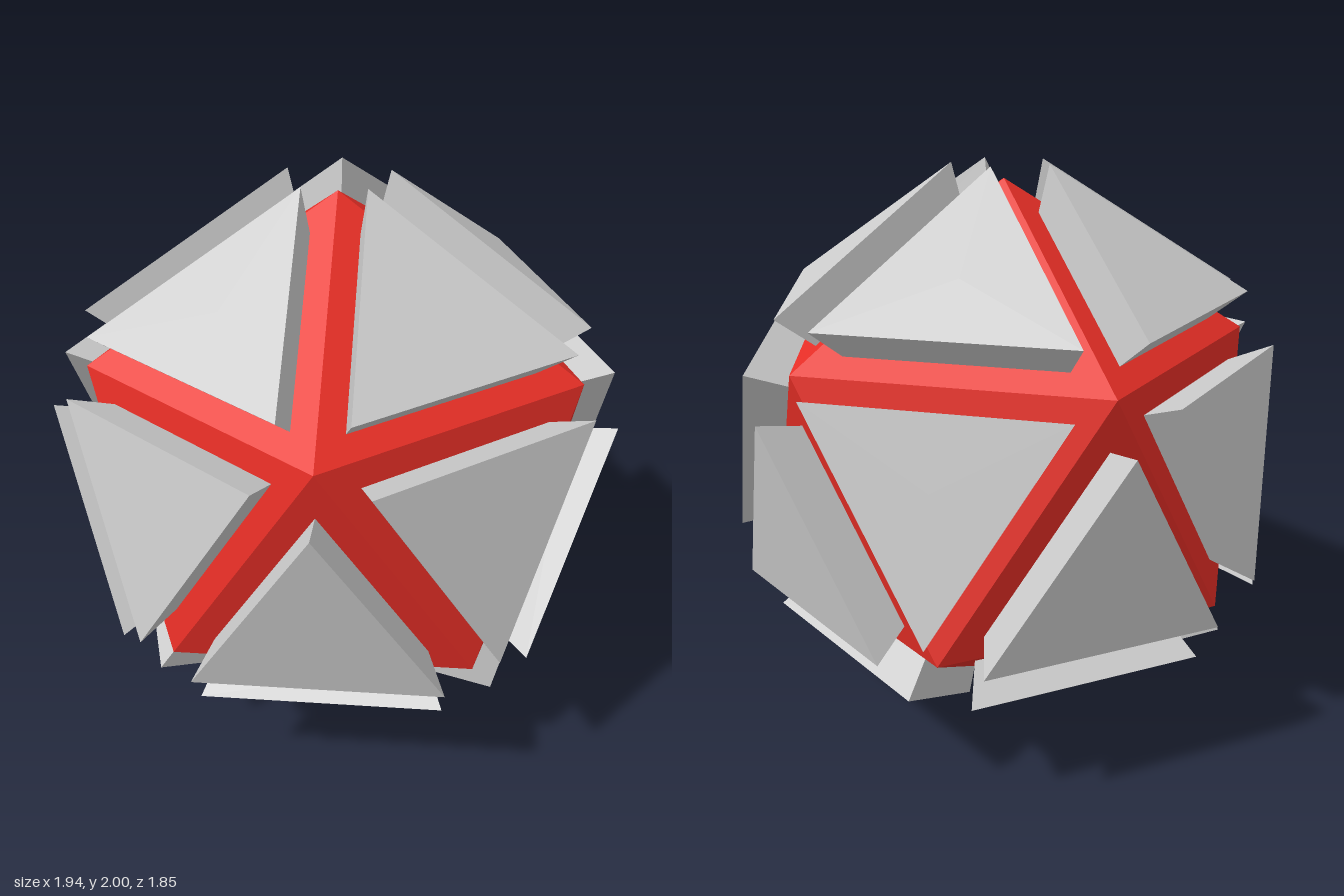
import * as THREE from 'three';

const CORE_R = 0.946;      // centre to core corner
const OUTER_EDGE = 0.81;   // plate edge length, outside
const INNER_EDGE = 0.70;   // plate edge length where it meets the core
const OUTER_DIST = 0.90;   // centre to outer plate surface

export function createModel() {
  const model = new THREE.Group();
  const body = new THREE.Group();
  body.name = 'icosahedralBall';
  body.position.y = 1;
  model.add(body);

  const red = new THREE.MeshStandardMaterial({ color: 0xe62e26, flatShading: true });
  const grey = new THREE.MeshStandardMaterial({ color: 0xcccccc, flatShading: true });

  // Icosahedron corners: two poles and two staggered rings of five
  const ringY = CORE_R / Math.sqrt(5);
  const ringPoint = (y, angle) =>
    new THREE.Vector3(2 * ringY * Math.cos(angle), y, 2 * ringY * Math.sin(angle));
  const top = new THREE.Vector3(0, CORE_R, 0);
  const bottom = new THREE.Vector3(0, -CORE_R, 0);
  const upper = (i) => ringPoint(ringY, (i * 2 * Math.PI) / 5);
  const lower = (i) => ringPoint(-ringY, ((i + 0.5) * 2 * Math.PI) / 5);

  // Twenty faces, wound to face outwards
  const faces = [];
  for (let i = 0; i < 5; i++) {
    faces.push(
      [top, upper(i + 1), upper(i)],
      [lower(i), upper(i), upper(i + 1)],
      [upper(i + 1), lower(i + 1), lower(i)],
      [bottom, lower(i), lower(i + 1)],
    );
  }

  // Red core
  const coreGeometry = new THREE.BufferGeometry().setFromPoints(faces.flat());
  coreGeometry.computeVertexNormals();
  const core = new THREE.Mesh(coreGeometry, red);
  core.name = 'core';
  body.add(core);

  // One tapered triangular plate on each face, wider on the outside
  const faceDist = faces[0][0].clone().add(faces[0][1]).add(faces[0][2]).length() / 3;
  const plateGeometry = new THREE.CylinderGeometry(
    OUTER_EDGE / Math.sqrt(3), INNER_EDGE / Math.sqrt(3), OUTER_DIST - faceDist, 3);
  plateGeometry.translate(0, (OUTER_DIST + faceDist) / 2, 0);

  faces.forEach(([a, b, c], i) => {
    const centre = a.clone().add(b).add(c).divideScalar(3);
    const normal = centre.clone().normalize();
    const toCorner = a.clone().sub(centre).normalize();
    const side = normal.clone().cross(toCorner);
    const plate = new THREE.Mesh(plateGeometry, grey);
    plate.name = `plate${i + 1}`;
    plate.quaternion.setFromRotationMatrix(
      new THREE.Matrix4().makeBasis(side, normal, toCorner));
    body.add(plate);
  });

  return model;
}
